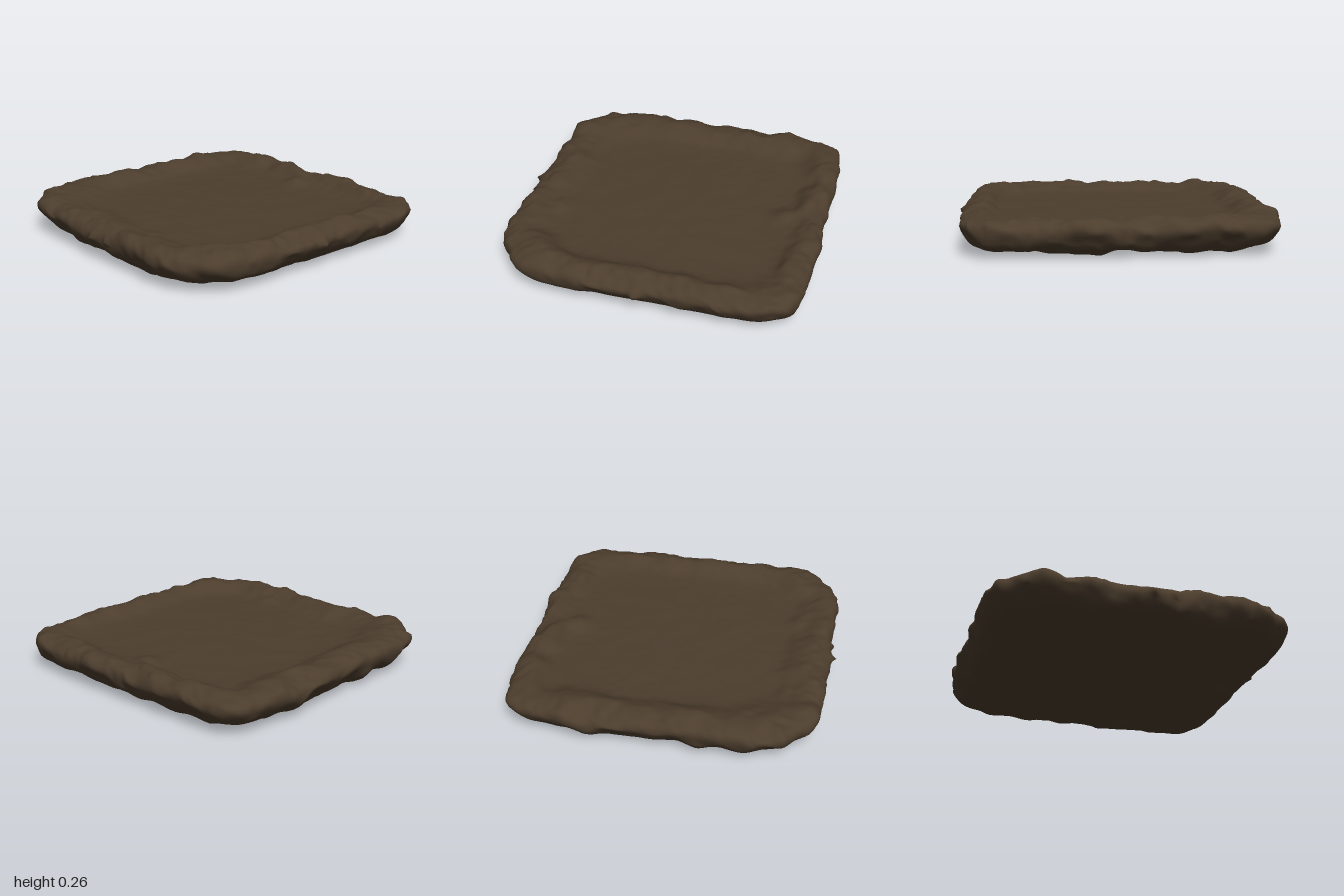
import * as THREE from 'three';

// Smooth seeded value noise in -1..1
function hash(x, y, z) {
  let h = (x * 374761393 + y * 668265263 + z * 1274126177) | 0;
  h = Math.imul(h ^ (h >>> 13), 1274126177);
  return ((h ^ (h >>> 16)) >>> 0) / 2147483648 - 1;
}
function noise(x, y, z) {
  const i = Math.floor(x), j = Math.floor(y), k = Math.floor(z);
  const f = (t) => t * t * (3 - 2 * t), L = THREE.MathUtils.lerp;
  const u = f(x - i), v = f(y - j), w = f(z - k);
  const edge = (b, c) => L(hash(i, b, c), hash(i + 1, b, c), u);
  return L(L(edge(j, k), edge(j + 1, k), v), L(edge(j, k + 1), edge(j + 1, k + 1), v), w);
}
const bump = (x, z, cx, cz, r) => Math.exp(-((x - cx) ** 2 + (z - cz) ** 2) / (r * r));

function buildSlab() {
  // Plan outline: a square with uneven rounded corners
  const outline = new THREE.CatmullRomCurve3([
    [0.96, 0], [0.965, 0.4], [0.93, 0.7], [0.88, 0.79], [0.79, 0.88], [0.7, 0.955], [0.4, 0.968],
    [0, 0.968], [-0.5, 0.968], [-0.75, 0.935], [-0.84, 0.85], [-0.92, 0.76], [-0.965, 0.6], [-0.97, 0.1],
    [-0.985, -0.5], [-0.95, -0.74], [-0.89, -0.88], [-0.79, -0.945], [-0.5, -0.965],
    [0, -0.97], [0.5, -0.975], [0.8, -0.945], [0.89, -0.87], [0.945, -0.75], [0.96, -0.5],
  ].map(([x, z]) => new THREE.Vector3(x, 0, z)), true, 'centripetal');

  // Cross-section from floor centre, over the rim, to the hollow underside: [scale, height]
  const section = new THREE.CatmullRomCurve3([
    [0, 0.18], [0.35, 0.18], [0.66, 0.18], [0.74, 0.191], [0.8, 0.217], [0.87, 0.237], [0.94, 0.226],
    [0.99, 0.197], [1, 0.165], [0.975, 0.11], [0.925, 0.055], [0.85, 0.028], [0.78, 0.038],
    [0.68, 0.062], [0.4, 0.073], [0, 0.075],
  ].map(([s, y]) => new THREE.Vector3(s, y, 0)), false, 'centripetal');

  const around = 360, steps = 110;
  const ring = outline.getSpacedPoints(around), cut = section.getSpacedPoints(steps);
  const step = THREE.MathUtils.smoothstep;
  const pos = [], index = [];
  for (let j = 0; j <= steps; j++) {
    const s = Math.max(cut[j].x, 0), h = cut[j].y;
    const rim = step(s, 0.66, 0.85), top = j < steps / 2;
    const wall = top ? step(s, 0.3, 0.66) * (1 - step(s, 0.74, 0.92)) : 0;
    for (let i = 0; i < around; i++) {
      // The sunken floor sits a little off centre
      let x = ring[i].x * s + 0.03 * wall, z = ring[i].z * s - 0.03 * wall, y = h;
      // Lumpy clay surface, calm on the floor and rough on the rim
      const big = noise(x * 7.5, h * 9 + 5, z * 7.5), fine = noise(x * 22 + 9, h * 22, z * 22);
      const rough = top ? 0.2 + 0.8 * rim : 0.5 + 0.5 * rim;
      y += rough * (0.025 * big + 0.008 * fine);
      const push = 1 + rim * (0.015 * noise(x * 8 + 31, h * 12, z * 8) + 0.008 * fine);
      x *= push;
      z *= push;
      // Tongue of clay slumping from the back rim
      if (top) y += 0.035 * bump(x, z, 0, -0.71, 0.08) - 0.025 * bump(x, z, 0.02, -0.83, 0.07);
      // Small burrs on the outer edge
      if (s > 0.97) {
        x += 0.04 * bump(z, y, 0, 0.155, 0.03) * (x > 0.8 ? 1 : 0);
        const burr = bump(x, y, -0.03, 0.16, 0.02) + bump(x, y, 0.1, 0.16, 0.02);
        z += 0.03 * burr * (z > 0.8 ? 1 : 0);
      }
      pos.push(x, y, z);
      if (j < steps) {
        const a = j * around + i, b = j * around + (i + 1) % around;
        if (j > 0) index.push(a, b, a + around);
        if (j < steps - 1) index.push(b, b + around, a + around);
      }
    }
  }
  const geo = new THREE.BufferGeometry();
  geo.setAttribute('position', new THREE.Float32BufferAttribute(pos, 3));
  geo.setIndex(index);
  geo.computeVertexNormals();
  geo.computeBoundingBox();
  geo.translate(0, -geo.boundingBox.min.y, 0);
  return geo;
}

export function createModel() {
  const group = new THREE.Group();
  group.name = 'clayTray';
  const clay = new THREE.MeshStandardMaterial({ color: 0x4c3d2d });
  clay.name = 'brown clay';
  const slab = new THREE.Mesh(buildSlab(), clay);
  slab.name = 'raisedRimSlab';
  group.add(slab);
  return group;
}
